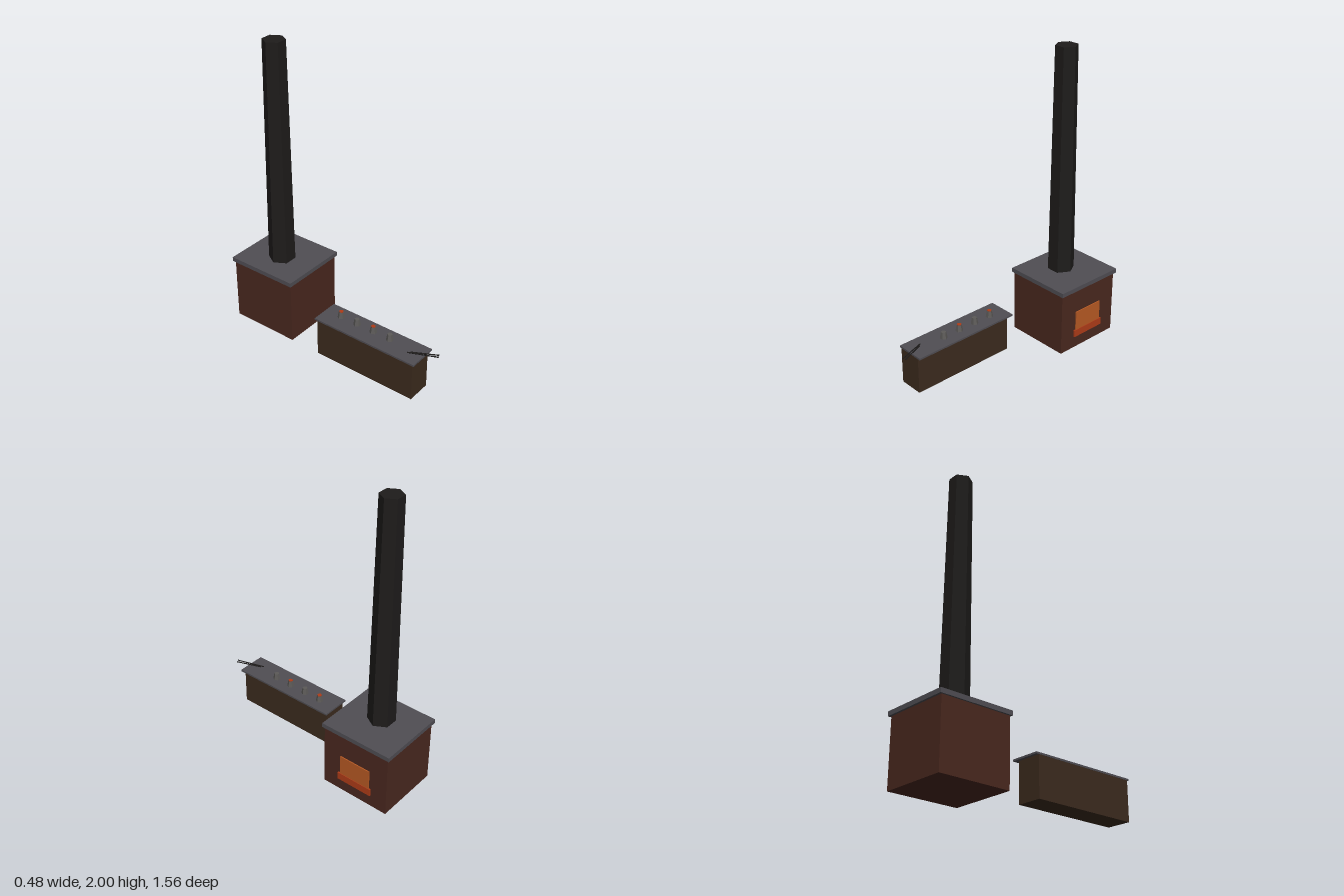
import * as THREE from 'three';

const mat = (color) => new THREE.MeshStandardMaterial({ color, flatShading: true });
const brick = mat(0x4a281f), stone = mat(0x504e54), iron = mat(0x1e1c1b), wood = mat(0x3c2b1e);
const clay = mat(0x5c5a58), glow = mat(0xb85a24), ember = mat(0xb03c18);

// Box given by its lower and upper corners
function box(name, material, [x0, y0, z0], [x1, y1, z1]) {
  const mesh = new THREE.Mesh(new THREE.BoxGeometry(x1 - x0, y1 - y0, z1 - z0), material);
  mesh.position.set((x0 + x1) / 2, (y0 + y1) / 2, (z0 + z1) / 2);
  mesh.name = name;
  return mesh;
}

// Tapered hexagonal prism with corners pointing along x
function hexagon(name, material, rTop, rBottom, y0, y1, x, z) {
  const geo = new THREE.CylinderGeometry(rTop, rBottom, y1 - y0, 6).rotateY(Math.PI / 2);
  const mesh = new THREE.Mesh(geo, material);
  mesh.position.set(x, (y0 + y1) / 2, z);
  mesh.name = name;
  return mesh;
}

// Thin rod between two points
function rod(name, a, b, radius) {
  const from = new THREE.Vector3(...a), to = new THREE.Vector3(...b);
  const mesh = new THREE.Mesh(new THREE.CylinderGeometry(radius, radius, from.distanceTo(to), 5), iron);
  mesh.position.copy(from).lerp(to, 0.5);
  mesh.quaternion.setFromUnitVectors(new THREE.Vector3(0, 1, 0), to.sub(from).normalize());
  mesh.name = name;
  return mesh;
}

export function createModel() {
  const model = new THREE.Group();
  model.name = 'furnaceAndBench';

  // Furnace with cap slab, chimney and glowing mouth on its left side
  const furnace = new THREE.Group();
  furnace.name = 'furnace';
  furnace.add(
    box('furnaceBody', brick, [-0.23, 0, -0.765], [0.225, 0.435, -0.28]),
    box('furnaceCap', stone, [-0.242, 0.435, -0.78], [0.238, 0.465, -0.27]),
    hexagon('chimney', iron, 0.074, 0.09, 0.465, 2, -0.032, -0.523),
    box('furnaceMouth', glow, [0.21, 0.13, -0.635], [0.232, 0.27, -0.41]),
    box('emberSill', ember, [0.21, 0.085, -0.648], [0.236, 0.135, -0.395])
  );

  // Workbench
  const bench = new THREE.Group();
  bench.name = 'bench';
  bench.add(
    box('benchBody', wood, [-0.23, 0, -0.06], [-0.063, 0.26, 0.68]),
    box('benchTop', stone, [-0.232, 0.26, -0.08], [-0.032, 0.272, 0.69])
  );

  // Row of crucibles, every other one full of hot melt
  for (let i = 0; i < 4; i++) {
    const z = 0.048 + i * 0.128;
    bench.add(hexagon('crucible', clay, 0.017, 0.025, 0.272, 0.316, -0.117, z));
    if (i % 2 === 0) bench.add(hexagon('hotMelt', ember, 0.015, 0.015, 0.314, 0.32, -0.117, z));
  }

  // Tongs lying over the front edge
  bench.add(
    rod('tongArm', [-0.157, 0.276, 0.59], [-0.088, 0.285, 0.775], 0.004),
    rod('tongArm', [-0.142, 0.276, 0.605], [-0.07, 0.285, 0.767], 0.004)
  );

  model.add(furnace, bench);
  return model;
}
